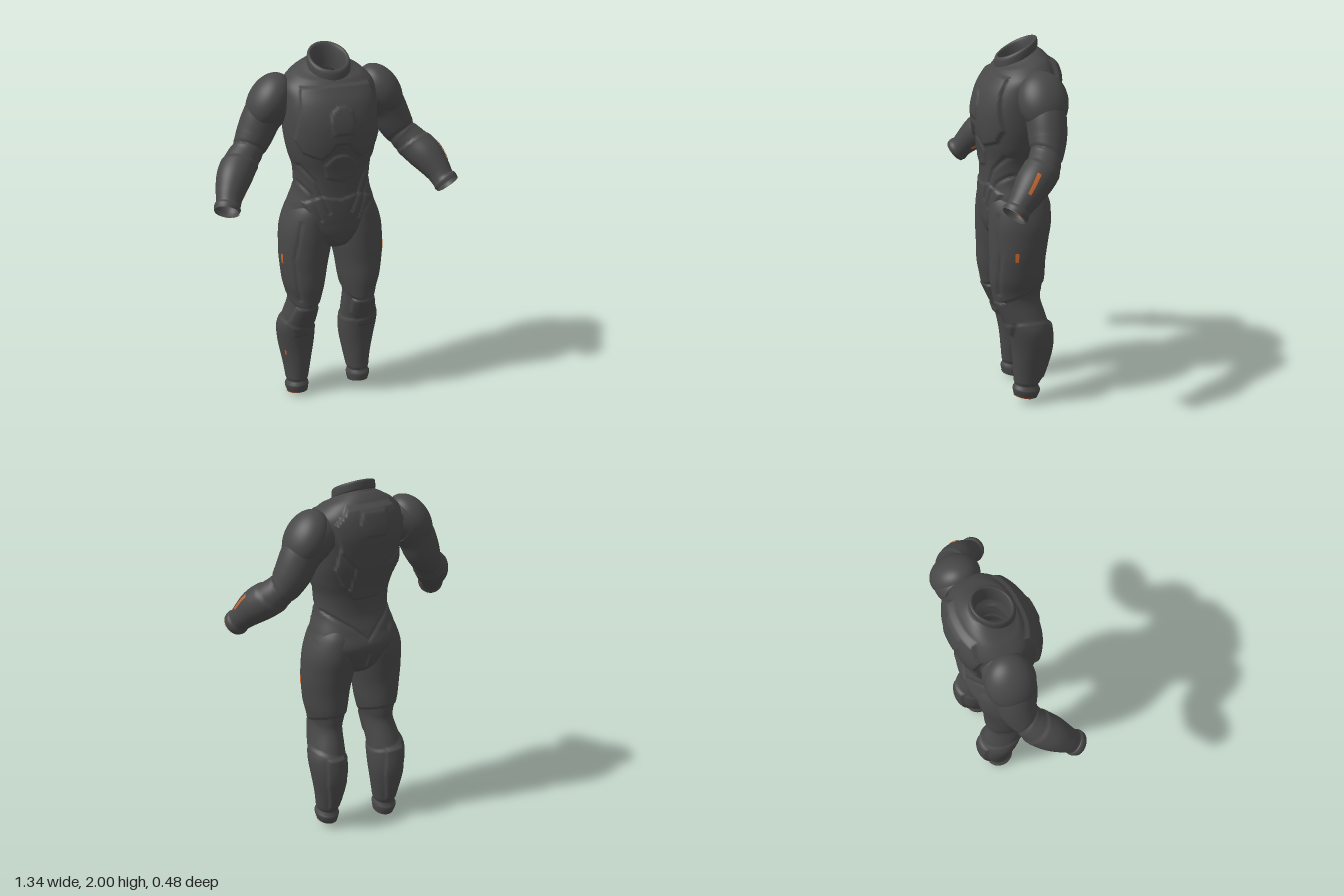
import * as THREE from 'three';
import { ParametricGeometry } from 'three/addons/geometries/ParametricGeometry.js';

const suitGrey = new THREE.MeshStandardMaterial({ color: 0x484848, side: THREE.DoubleSide });
suitGrey.name = 'suit grey';
const markerOrange = new THREE.MeshStandardMaterial({ color: 0xc4652f, side: THREE.DoubleSide });
markerOrange.name = 'marker orange';

const { clamp, smoothstep } = THREE.MathUtils;

// Smooth interpolation through a table of cross-section rows
function sample(rows, v) {
  const f = clamp(v, 0, 1) * (rows.length - 1);
  const i = Math.min(Math.floor(f), rows.length - 2), k = f - i;
  const at = (j) => rows[clamp(j, 0, rows.length - 1)];
  const [a, b, c, d] = [at(i - 1), at(i), at(i + 1), at(i + 2)];
  return b.map((q, n) => q + 0.5 * k * (c[n] - a[n] + k * (2 * a[n] - 5 * q + 4 * c[n] - d[n]
    + k * (3 * (q - c[n]) + d[n] - a[n]))));
}

// Distance helpers for raised plates and seams
function segment(x, y, [ax, ay], [bx, by]) {
  const dx = bx - ax, dy = by - ay;
  const t = clamp(((x - ax) * dx + (y - ay) * dy) / (dx * dx + dy * dy), 0, 1);
  return Math.hypot(x - ax - t * dx, y - ay - t * dy);
}
function plate(x, y, height, points) {
  let d = 9, inside = false;
  points.forEach((a, i) => {
    const b = points[(i + 1) % points.length];
    d = Math.min(d, segment(x, y, a, b));
    if ((a[1] > y) !== (b[1] > y) && x < a[0] + (b[0] - a[0]) * (y - a[1]) / (b[1] - a[1])) inside = !inside;
  });
  return height * smoothstep(inside ? d : -d, -0.006, 0.012);
}
function groove(x, y, depth, points) {
  let d = 9;
  for (let i = 1; i < points.length; i++) d = Math.min(d, segment(x, y, points[i - 1], points[i]));
  return -depth * Math.exp(-((d / 0.009) ** 2));
}

// Torso rows: y, half width, front z, back z, forward tilt
const torsoRows = [
  [0.905, 0.01, 0.04, -0.03, 0], [0.95, 0.09, 0.145, -0.115, 0], [1.02, 0.19, 0.18, -0.15, 0],
  [1.10, 0.25, 0.188, -0.173, 0], [1.18, 0.232, 0.19, -0.15, 0], [1.27, 0.205, 0.188, -0.125, 0],
  [1.37, 0.205, 0.192, -0.125, 0], [1.46, 0.23, 0.205, -0.145, 0], [1.55, 0.245, 0.216, -0.175, 0],
  [1.65, 0.25, 0.212, -0.197, 0], [1.74, 0.25, 0.185, -0.207, 0], [1.81, 0.24, 0.145, -0.195, 0.05],
  [1.86, 0.19, 0.115, -0.17, 0.15], [1.885, 0.135, 0.095, -0.135, 0.3], [1.90, 0.1, 0.085, -0.105, 0.4],
];

function torsoRelief(x, y, front) {
  x = Math.abs(x);
  if (front) {
    return plate(x, y, 0.016, [[-0.1, 1.545], [0.03, 1.535], [0.06, 1.49], [0.1, 1.455], [0.19, 1.49],
      [0.222, 1.56], [0.2, 1.7], [0.18, 1.83], [-0.1, 1.85]])
      + plate(x, y, 0.008, [[-0.1, 1.59], [0.05, 1.59], [0.062, 1.66], [0.05, 1.71], [0.02, 1.735], [-0.1, 1.735]])
      + plate(x, y, 0.007, [[-0.1, 1.5], [0.04, 1.47], [0.09, 1.42], [0.075, 1.35], [-0.1, 1.29]])
      + plate(x, y, 0.008, [[-0.1, 1.21], [0.1, 1.25], [0.19, 1.21], [0.1, 1.03], [0.045, 0.93], [-0.1, 0.92]])
      + groove(x, y, 0.008, [[0.2, 1.41], [0.13, 1.33], [0.06, 1.16]])
      + groove(x, y, 0.007, [[0.2, 1.31], [0.15, 1.26], [0.1, 1.12]]);
  }
  return plate(x, y, 0.025, [[-0.1, 1.36], [0.07, 1.37], [0.13, 1.45], [0.18, 1.55], [0.165, 1.68],
    [0.19, 1.79], [0.12, 1.86], [-0.1, 1.86]])
    + plate(x, y, 0.008, [[-0.1, 1.72], [0.05, 1.735], [0.08, 1.79], [0.06, 1.845], [-0.1, 1.845]])
    + groove(x, y, 0.008, [[0.15, 1.64], [0.09, 1.56], [0.1, 1.44]])
    + groove(x, y, 0.008, [[0.2, 1.29], [0.08, 1.21], [0, 1.14]])
    + groove(x, y, 0.012, [[0, 1.06], [0, 0.92]]);
}

function torso(u, v, p) {
  const [y, rx, zf, zb, tilt] = sample(torsoRows, v);
  const a = u * Math.PI * 2, s = Math.sin(a), c = Math.cos(a);
  const r = (Math.abs(s) ** 2.3 + Math.abs(c) ** 2.3) ** (-1 / 2.3);
  const x = rx * s * r, z = (zf + zb) / 2 + (zf - zb) / 2 * c * r;
  const lift = torsoRelief(x, y, c > 0) * smoothstep(Math.abs(c), 0, 0.3);
  p.set(x + s * lift, y - tilt * z, z + c * lift);
}

// Leg rows: y, inner x, outer x, front z, back z
const legRows = [
  [0.03, 0.118, 0.232, 0.045, -0.085], [0.07, 0.112, 0.244, 0.052, -0.1], [0.10, 0.114, 0.238, 0.046, -0.096],
  [0.20, 0.097, 0.25, 0.05, -0.13], [0.32, 0.082, 0.268, 0.055, -0.15], [0.43, 0.08, 0.278, 0.075, -0.142],
  [0.50, 0.08, 0.262, 0.105, -0.125], [0.60, 0.077, 0.24, 0.15, -0.095], [0.66, 0.065, 0.243, 0.163, -0.1],
  [0.75, 0.045, 0.266, 0.177, -0.11], [0.85, 0.022, 0.284, 0.183, -0.12], [0.95, 0.003, 0.286, 0.186, -0.135],
  [1.05, 0, 0.277, 0.185, -0.15], [1.15, 0.02, 0.242, 0.175, -0.14], [1.22, 0.05, 0.2, 0.14, -0.1],
];

const leg = (side) => (u, v, p, lift = 0) => {
  const [y, xi, xo, zf, zb] = sample(legRows, v);
  const a = u * side * Math.PI * 2, s = Math.sin(a) * side, c = Math.cos(a);
  const dx = (xo - xi) / 2 * s, cx = (xi + xo) / 2;
  if (c > 0) { // knee pad, thigh seam
    lift += (plate(dx, y, 0.014, [[-0.06, 0.6], [0.06, 0.61], [0.075, 0.5], [0.04, 0.41], [-0.04, 0.41], [-0.07, 0.5]])
      + groove(dx, y, 0.006, [[0.07, 1.1], [0.09, 0.9], [0.05, 0.66]])) * smoothstep(c, 0, 0.3);
  } else { // calf panel
    lift += plate(dx, y, 0.012, [[-0.05, 0.46], [0.05, 0.46], [0.055, 0.3], [0.03, 0.13], [-0.03, 0.13], [-0.055, 0.3]])
      * smoothstep(-c, 0, 0.3);
  }
  lift += 0.008 * smoothstep(y + 0.05 * c, 0.64, 0.66) * (1 - smoothstep(y, 0.7, 0.85)); // thigh cuff
  lift += 0.008 * (1 - smoothstep(y - 0.03 * s, 0.45, 0.475)) * smoothstep(y, 0.15, 0.4); // greave edge
  lift -= 0.006 * Math.exp(-(((y - 0.1) / 0.01) ** 2)); // ankle crease
  const z = (zf + zb) / 2 + (zf - zb) / 2 * c + c * lift;
  const low = Math.max(0, 1 - y) * side;
  p.set(side * (cx + dx + s * lift), y + 0.015 * low + 0.2 * z * (1 - smoothstep(y, 0, 0.2)), z + 0.016 * low);
};

// Arm rows from shoulder to wrist: x, y, z, radius
const armRows = [
  [0.2, 1.74, -0.06, 0.1], [0.27, 1.72, -0.06, 0.118], [0.34, 1.64, -0.06, 0.104], [0.385, 1.55, -0.055, 0.097],
  [0.43, 1.475, -0.035, 0.085], [0.485, 1.42, 0.005, 0.086], [0.535, 1.365, 0.065, 0.084],
  [0.572, 1.305, 0.12, 0.072], [0.59, 1.265, 0.155, 0.063], [0.6, 1.25, 0.17, 0.069], [0.608, 1.235, 0.185, 0.064],
];

const arm = (side) => {
  const tangent = new THREE.Vector3(), n1 = new THREE.Vector3(), n2 = new THREE.Vector3();
  const forward = new THREE.Vector3(0, 0, 1);
  return (u, v, p, lift = 0) => {
    const [x, y, z, radius] = sample(armRows, v);
    const q0 = sample(armRows, v - 0.03), q1 = sample(armRows, v + 0.03);
    tangent.set(q1[0] - q0[0], q1[1] - q0[1], q1[2] - q0[2]).normalize();
    n2.crossVectors(tangent, forward).normalize();
    n1.crossVectors(n2, tangent);
    const a = u * side * Math.PI * 2, s = Math.sin(a), c = Math.cos(a);
    const r = radius + lift
      + 0.008 * smoothstep(v + 0.03 * s, 0.47, 0.5) * (1 - smoothstep(v, 0.55, 0.75)) // forearm guard
      - 0.006 * Math.exp(-(((v - 0.4 + 0.03 * c) / 0.015) ** 2)); // elbow crease
    p.set(x, y, z).addScaledVector(n1, r * c).addScaledVector(n2, r * s);
    p.x *= side;
  };
};

// Collar rows: y, radius; outer wall, rolled rim, inner wall
const collarRows = [
  [1.83, 0.112], [1.86, 0.122], [1.885, 0.114], [1.89, 0.108], [1.90, 0.112], [1.935, 0.11],
  [1.945, 0.1], [1.935, 0.09], [1.89, 0.084], [1.82, 0.085],
];
function collar(u, v, p) {
  const [y, r] = sample(collarRows, v);
  const a = u * Math.PI * 2, z = r * Math.cos(a);
  p.set(r * Math.sin(a), y - 0.5 * z, z);
}

function surface(name, fn, slices, stacks, material = suitGrey) {
  const mesh = new THREE.Mesh(new ParametricGeometry(fn, slices, stacks), material);
  mesh.name = name;
  return mesh;
}
// Thin orange marker following a surface
function marker(name, fn, u0, u1, v0, v1) {
  return surface(name, (u, v, p) => fn(u0 + (u1 - u0) * u, v0 + (v1 - v0) * v, p, 0.004), 16, 6, markerOrange);
}

export function createModel() {
  const group = new THREE.Group();
  group.add(surface('torso', torso, 144, 150), surface('collar', collar, 64, 36));

  for (const side of [1, -1]) {
    const label = side > 0 ? 'left' : 'right';
    const legAt = leg(side), armAt = arm(side);
    group.add(surface(label + 'Leg', legAt, 80, 130), surface(label + 'Arm', armAt, 56, 90));

    // Shoulder guard, long axis following the upper arm
    const guard = new THREE.Mesh(new THREE.SphereGeometry(1, 48, 32), suitGrey);
    guard.name = label + 'ShoulderGuard';
    guard.scale.set(0.103, 0.155, 0.128);
    guard.position.set(side * 0.308, 1.722, -0.055);
    guard.rotation.z = side * 0.55;
    group.add(guard);

    group.add(
      marker(label + 'ForearmMarker', armAt, 0.73, 0.765, 0.58, 0.69),
      marker(label + 'WristTrim', armAt, 0.55, 0.8, 0.985, 0.997),
      marker(label + 'ThighMarker', legAt, 0.198, 0.218, 0.721, 0.757),
      marker(label + 'AnkleTrim', legAt, 0.02, 0.3, 0, 0.012),
    );
    if (side < 0) group.add(marker('shinMarker', legAt, 0.14, 0.157, 0.26, 0.277));
  }
  return group;
}
